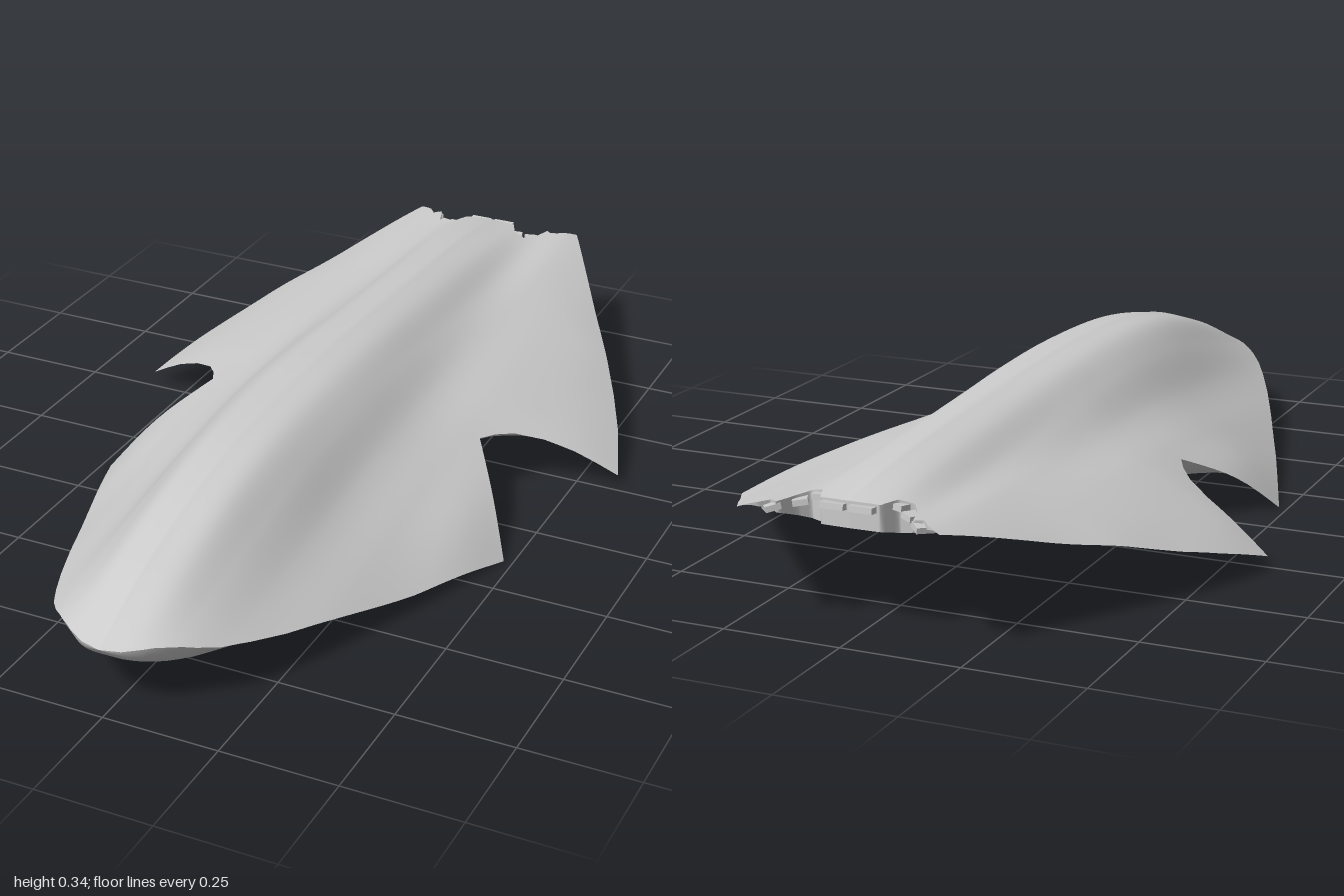
import * as THREE from 'three';

const grey = () => new THREE.MeshStandardMaterial({ color: 0xcccccc, side: THREE.DoubleSide });

// Smooth interpolation of ys over uneven stations xs (ascending)
function spline(xs, ys, x) {
  const n = xs.length - 1;
  let i = 0;
  while (i < n - 1 && x > xs[i + 1]) i++;
  const slope = (k) => {
    const a = Math.max(k - 1, 0), b = Math.min(k + 1, n);
    return (ys[b] - ys[a]) / (xs[b] - xs[a]);
  };
  const h = xs[i + 1] - xs[i];
  const t = THREE.MathUtils.clamp((x - xs[i]) / h, 0, 1);
  const t2 = t * t, t3 = t2 * t;
  return (2 * t3 - 3 * t2 + 1) * ys[i] + (t3 - 2 * t2 + t) * h * slope(i)
    + (3 * t2 - 2 * t3) * ys[i + 1] + (t3 - t2) * h * slope(i + 1);
}

function linear(pts, x) {
  let i = 0;
  while (i < pts.length - 2 && x > pts[i + 1][0]) i++;
  const [a, b] = [pts[i], pts[i + 1]];
  return THREE.MathUtils.mapLinear(x, a[0], b[0], a[1], b[1]);
}

// Upper surface: height at fixed x columns for stations along z
const topX = [0, 0.07, 0.13, 0.2, 0.3, 0.4, 0.5, 0.6];
const topRows = [
  [-1, [0.265, 0.265, 0.262, 0.253, 0.21, 0.15, 0.09, 0.03]],
  [-0.8, [0.297, 0.284, 0.257, 0.245, 0.203, 0.147, 0.09, 0.03]],
  [-0.6, [0.315, 0.297, 0.258, 0.235, 0.2, 0.155, 0.095, 0.035]],
  [-0.265, [0.333, 0.316, 0.272, 0.225, 0.188, 0.142, 0.09, 0.023]],
  [-0.08, [0.34, 0.326, 0.282, 0.22, 0.17, 0.115, 0.05, -0.02]],
  [0.14, [0.342, 0.33, 0.285, 0.21, 0.145, 0.082, -0.02, -0.12]],
  [0.4, [0.33, 0.318, 0.265, 0.18, 0.105, 0.025, -0.06, -0.15]],
  [0.6, [0.3, 0.286, 0.23, 0.155, 0.08, 0, -0.08, -0.16]],
  [0.8, [0.245, 0.23, 0.185, 0.128, 0.06, 0, -0.06, -0.12]],
  [0.9, [0.205, 0.192, 0.16, 0.115, 0.06, 0, -0.06, -0.12]],
  [1, [0.155, 0.148, 0.135, 0.11, 0.07, 0.02, -0.03, -0.08]],
];
const topZ = topRows.map((r) => r[0]);
const topY = (x, z) => spline(topZ, topRows.map((r) => spline(topX, r[1], Math.abs(x))), z);

// Plan outline as [z, half width], with the notch between the wings
const outline = [
  [-1, 0.21], [-0.8, 0.325], [-0.6, 0.44], [-0.5, 0.493], [-0.4, 0.54], [-0.33, 0.567], [-0.265, 0.59],
  [-0.23, 0.5], [-0.2, 0.435], [-0.16, 0.38], [-0.12, 0.35], [-0.08, 0.33], [0.14, 0.48],
  [0.4, 0.385], [0.6, 0.305], [0.72, 0.255], [0.8, 0.217], [0.86, 0.185], [0.9, 0.155],
  [0.94, 0.115], [0.97, 0.078], [0.99, 0.043], [1, 0],
];
const halfWidth = (z) => linear(outline, z);

// Underside: shallow keel that closes onto the edge of the upper surface
const keelZ = [-1, -0.8, -0.6, -0.265, 0, 0.2, 0.45, 0.7, 0.8, 0.9, 0.97, 1];
const keelY = [0.235, 0.175, 0.12, 0.06, 0.038, 0.025, 0.02, 0.037, 0.055, 0.088, 0.125, 0.155];
function bottomY(x, z, u = x / halfWidth(z)) {
  const base = spline(keelZ, keelY, z) + 0.03 * THREE.MathUtils.smoothstep(Math.abs(x), 0.05, 0.32);
  const top = topY(x, z);
  return Math.min(top, THREE.MathUtils.lerp(base, top, Math.abs(u) ** 5));
}

// Ragged trailing edge: how far the tail is cut forward across its width
const tailCut = [[0, 0.5], [0.3, 0.55], [0.38, 0.95], [0.52, 1.05], [0.6, 0.8],
  [0.68, 0.3], [0.76, 0.42], [0.84, 0.2], [1, 0]];
function hullPoint(u, z) {
  const pull = THREE.MathUtils.clamp((-0.8 - z) / 0.2, 0, 1);
  return [u * halfWidth(z), z + 0.1 * pull * linear(tailCut, Math.abs(u))];
}

// Surface from a rows by cols rule returning [x, y, z]
function surface(name, rows, cols, rule, flip = false) {
  const pos = [], idx = [];
  for (let i = 0; i <= rows; i++) for (let j = 0; j <= cols; j++) pos.push(...rule(i, j));
  for (let i = 0; i < rows; i++) for (let j = 0; j < cols; j++) {
    const a = i * (cols + 1) + j, b = a + cols + 1;
    if (flip) idx.push(a, b, a + 1, a + 1, b, b + 1);
    else idx.push(a, a + 1, b, a + 1, b + 1, b);
  }
  const g = new THREE.BufferGeometry();
  g.setAttribute('position', new THREE.Float32BufferAttribute(pos, 3));
  g.setIndex(idx);
  g.computeVertexNormals();
  const mesh = new THREE.Mesh(g, grey());
  mesh.name = name;
  return mesh;
}

// Louvred vent lying on the underside
function vent(x, z, width, length) {
  const g = new THREE.Group();
  g.name = 'bellyVent';
  const e = 0.02;
  const n = new THREE.Vector3(
    bottomY(x + e, z) - bottomY(x - e, z), -2 * e, bottomY(x, z + e) - bottomY(x, z - e)).normalize();
  const bar = (sx, sz, px, pz) => {
    const m = new THREE.Mesh(new THREE.BoxGeometry(sx, 0.008, sz), grey());
    m.position.set(px, 0, pz);
    m.name = 'ventSlat';
    g.add(m);
  };
  for (let i = 0; i < 6; i++) bar(width, 0.006, 0, (i / 5 - 0.5) * length);
  for (const s of [-1, 1]) bar(0.006, length, s * width / 2, 0);
  g.position.set(x, bottomY(x, z), z);
  g.quaternion.setFromUnitVectors(new THREE.Vector3(0, -1, 0), n);
  return g;
}

export function createModel() {
  const model = new THREE.Group();
  model.name = 'spacecraft';

  // Stations along the hull, keeping every outline corner
  const zs = [1];
  for (let i = outline.length - 1; i > 0; i--) {
    const [z1, z0] = [outline[i][0], outline[i - 1][0]];
    const n = Math.ceil((z1 - z0) / 0.025);
    for (let k = 1; k <= n; k++) zs.push(z1 + (z0 - z1) * k / n);
  }
  const cols = 100, rows = zs.length - 1;
  const at = (i, j, height) => {
    const u = (j / cols) * 2 - 1;
    const [x, z] = hullPoint(u, zs[i]);
    return [x, height(x, z, u), z];
  };

  // Hull skins
  model.add(surface('upperHull', rows, cols, (i, j) => at(i, j, topY)));
  model.add(surface('lowerHull', rows, cols, (i, j) => at(i, j, bottomY), true));

  // Tail opening wall
  model.add(surface('tailWall', 1, cols, (i, j) => at(rows, j, i ? bottomY : topY)));

  // Small overlapping plates around the tail opening
  for (const s of [-1, 1]) {
    [[0.03, -0.945, 0.05], [0.085, -0.9, 0.03], [0.12, -0.92, 0.03], [0.16, -0.96, 0.03]].forEach(([x, z, w], k) => {
      const plate = new THREE.Mesh(new THREE.BoxGeometry(w, 0.012, 0.04), grey());
      plate.position.set(s * x, topY(x, z) - 0.012, z);
      plate.rotation.set(0.1, s * 0.25 * k, -s * 0.08 * k);
      plate.name = 'tailPlate';
      model.add(plate);
    });
  }

  // Belly vents, mirrored
  for (const s of [-1, 1]) {
    model.add(vent(s * 0.24, 0.32, 0.08, 0.08));
    model.add(vent(s * 0.35, -0.5, 0.08, 0.09));
    model.add(vent(s * 0.17, -0.46, 0.07, 0.1));
    model.add(vent(s * 0.14, 0.7, 0.07, 0.06));
  }
  return model;
}
